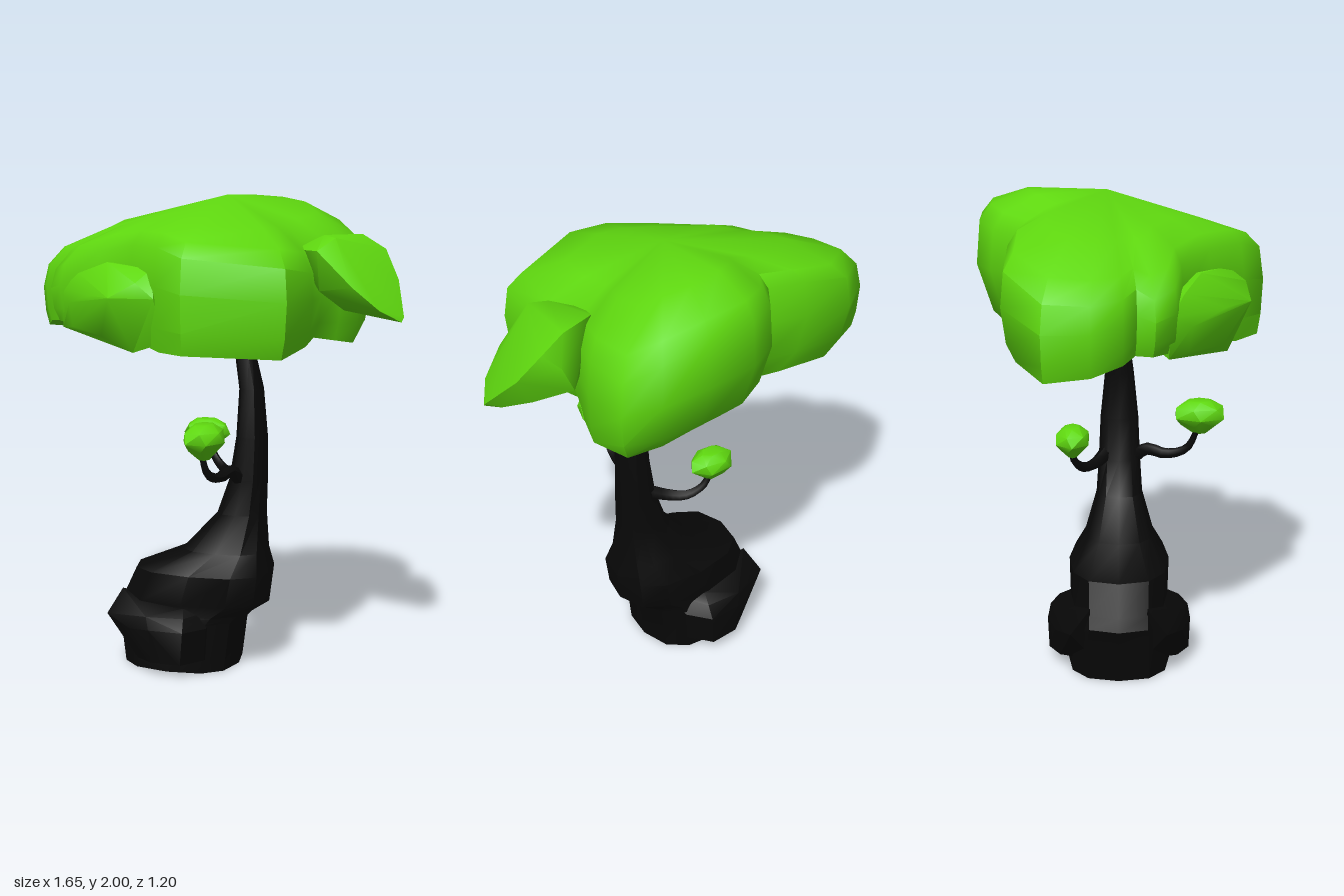
import * as THREE from 'three';
import { toCreasedNormals } from 'three/addons/utils/BufferGeometryUtils.js';
import { ConvexGeometry } from 'three/addons/geometries/ConvexGeometry.js';

const bark = new THREE.MeshStandardMaterial({ color: 0x080808 });
const leaf = new THREE.MeshStandardMaterial({ color: 0x5fd80f });
const V = (x, y, z) => new THREE.Vector3(x, y, z);

// Skin a stack of equal-length rings, lowest first; single-point rings close the ends
function loft(rings, crease) {
  const pos = [];
  const tri = (a, b, c) => {
    if (a.equals(b) || b.equals(c) || a.equals(c)) return;
    for (const p of [a, b, c]) pos.push(p.x, p.y, p.z);
  };
  for (let r = 0; r < rings.length - 1; r++) {
    const lo = rings[r], hi = rings[r + 1], n = lo.length;
    for (let i = 0; i < n; i++) {
      const j = (i + 1) % n;
      tri(lo[i], hi[i], lo[j]);
      tri(lo[j], hi[i], hi[j]);
    }
  }
  const g = new THREE.BufferGeometry();
  g.setAttribute('position', new THREE.Float32BufferAttribute(pos, 3));
  return toCreasedNormals(g, crease);
}

const hull = (pts, crease) =>
  toCreasedNormals(new ConvexGeometry(pts.map(p => V(...p))), crease);

function add(group, name, geometry, material) {
  const m = new THREE.Mesh(geometry, material);
  m.name = name;
  group.add(m);
}

// Main crown: outline of x, z, bottom height, shoulder height, upper height, bottom inset
function crownGeometry() {
  const outline = [
    [0.47, 0.00, 1.42, 1.70, 1.88, 0.92], [0.49, 0.20, 1.40, 1.71, 1.87, 0.92],
    [0.46, 0.46, 1.37, 1.74, 1.87, 0.92], [0.08, 0.60, 1.39, 1.78, 1.88, 0.97],
    [-0.06, 0.51, 1.39, 1.82, 1.90, 0.95], [-0.22, 0.37, 1.42, 1.82, 1.91, 0.95],
    [-0.42, 0.25, 1.44, 1.79, 1.90, 0.95], [-0.60, 0.22, 1.47, 1.73, 1.88, 0.95],
    [-0.68, 0.14, 1.47, 1.70, 1.87, 0.95], [-0.66, 0.07, 1.47, 1.74, 1.87, 0.95],
    [-0.76, 0.02, 1.46, 1.72, 1.87, 0.97], [-0.83, -0.10, 1.43, 1.71, 1.87, 0.97],
    [-0.83, -0.28, 1.41, 1.72, 1.89, 0.97], [-0.60, -0.44, 1.42, 1.80, 1.91, 0.88],
    [-0.36, -0.44, 1.43, 1.86, 1.94, 0.82], [-0.20, -0.40, 1.43, 1.87, 1.96, 0.82],
    [-0.10, -0.52, 1.41, 1.88, 1.99, 0.72], [0.05, -0.59, 1.38, 1.90, 2.00, 0.66],
    [0.28, -0.60, 1.38, 1.90, 1.99, 0.66], [0.46, -0.55, 1.38, 1.84, 1.97, 0.75],
    [0.57, -0.45, 1.38, 1.76, 1.93, 0.88], [0.57, -0.25, 1.38, 1.76, 1.91, 0.95],
    [0.52, -0.12, 1.40, 1.74, 1.90, 0.95],
  ];
  const cx = 0.05, cz = -0.05;
  const ring = (scale, height) => outline.map(o => {
    const s = scale(o);
    return V(cx + (o[0] - cx) * s, height(o), cz + (o[1] - cz) * s);
  });
  const side = t => o => o[2] + (o[3] - o[2]) * t;
  return loft([
    ring(() => 0, () => 1.5),
    ring(o => o[5] * 0.55, o => o[2] * 0.4 + 0.88),
    ring(o => o[5], o => o[2]),
    ring(o => 0.35 * o[5] + 0.65, side(0.22)),
    ring(() => 1, side(0.6)),
    ring(() => 0.97, side(0.95)),
    ring(() => 0.88, o => o[3] + (o[4] - o[3]) * 0.4),
    ring(() => 0.6, o => o[4]),
    ring(() => 0, () => 2),
  ], 0.95);
}

// Trunk: rounded-square rings of height, left edge, right edge, half depth
function trunkGeometry() {
  const levels = [
    [0, -0.38, 0.12, 0.22], [0.21, -0.41, 0.15, 0.22], [0.24, -0.425, 0.18, 0.21],
    [0.29, -0.40, 0.255, 0.21], [0.42, -0.335, 0.27, 0.215], [0.51, -0.12, 0.245, 0.15],
    [0.67, 0.03, 0.235, 0.10], [0.82, 0.085, 0.238, 0.09], [1.0, 0.115, 0.236, 0.082],
    [1.2, 0.125, 0.22, 0.062], [1.33, 0.105, 0.19, 0.045], [1.5, 0.06, 0.13, 0.03],
  ];
  const n = 12;
  const soft = c => Math.sign(c) * Math.abs(c) ** 0.78;
  const rings = levels.map(([y, x0, x1, d]) => Array.from({ length: n }, (_, i) => {
    const a = (i / n) * Math.PI * 2;
    return V((x0 + x1) / 2 + (x1 - x0) / 2 * soft(Math.cos(a)), y, d * soft(Math.sin(a)));
  }));
  const cap = ([y, x0, x1]) => Array(n).fill(V((x0 + x1) / 2, y, 0));
  return loft([cap(levels[0]), ...rings, cap(levels.at(-1))], 0.6);
}

// Curved twig that thins toward its tip
function twigGeometry(points) {
  const curve = new THREE.CatmullRomCurve3(points.map(p => V(...p)));
  const g = new THREE.TubeGeometry(curve, 12, 0.032, 6);
  const p = g.attributes.position, uv = g.attributes.uv, q = V();
  for (let i = 0; i < p.count; i++) {
    const t = uv.getX(i), c = curve.getPointAt(t);
    q.fromBufferAttribute(p, i).sub(c).multiplyScalar(1 - 0.65 * t).add(c);
    p.setXYZ(i, q.x, q.y, q.z);
  }
  g.computeVertexNormals();
  return g;
}

// Small faceted leaf puff: flat crown, wide waist, narrow underside
function puffGeometry(cx, cz, y0, y1, rx, rz) {
  const rows = [[0, 0.25], [0.28, 0.72], [0.5, 1], [0.8, 0.88], [1, 0.45]];
  const pts = [];
  rows.forEach(([t, s], r) => {
    for (let i = 0; i < 6; i++) {
      const a = (i / 6) * Math.PI * 2 + 0.3 * (r % 2);
      pts.push([cx + rx * s * Math.cos(a), y0 + (y1 - y0) * t, cz + rz * s * Math.sin(a)]);
    }
  });
  return hull(pts, 0.6);
}

export function createModel() {
  const tree = new THREE.Group();
  tree.name = 'tree';

  add(tree, 'trunk', trunkGeometry(), bark);

  // Broad roots flaring from the front and back of the base
  for (const s of [1, -1]) {
    const pts = [
      [-0.25, 0.06, 0.25], [-0.17, 0.06, 0.3], [-0.04, 0.06, 0.3], [0.03, 0.06, 0.2],
      [-0.28, 0.19, 0.27], [-0.18, 0.2, 0.305], [-0.03, 0.2, 0.3], [0.04, 0.2, 0.2],
      [-0.41, 0.225, 0.2], [-0.2, 0.25, 0.28], [-0.04, 0.25, 0.26], [-0.37, 0.32, 0.12],
      [-0.06, 0.28, 0.21], [-0.3, 0.06, 0.1], [0.04, 0.06, 0.1], [0.05, 0.26, 0.1],
    ].map(([x, y, z]) => [x, y, s * z]);
    add(tree, s > 0 ? 'frontRoot' : 'backRoot', hull(pts, 0.5), bark);
  }

  // Twigs with their leaf puffs
  add(tree, 'frontTwig', twigGeometry([[0.15, 0.81, 0.05], [0.12, 0.865, 0.12],
    [0.1, 0.85, 0.2], [0.08, 0.88, 0.29], [0.07, 0.98, 0.34]]), bark);
  add(tree, 'frontPuff', puffGeometry(0.085, 0.345, 0.95, 1.095, 0.088, 0.118), leaf);
  add(tree, 'backTwig', twigGeometry([[0.14, 0.85, -0.05], [0.06, 0.82, -0.1],
    [0.0, 0.82, -0.15], [-0.06, 0.87, -0.19], [-0.09, 0.95, -0.2]]), bark);
  add(tree, 'backPuff', puffGeometry(-0.095, -0.195, 0.9, 1.03, 0.107, 0.078), leaf);

  // Crown and its side lobes
  add(tree, 'crown', crownGeometry(), leaf);
  add(tree, 'frontLobe', hull([
    [-0.6, 1.45, 0.19], [-0.6, 1.61, 0.2], [-0.5, 1.68, 0.25], [-0.34, 1.73, 0.32],
    [-0.1, 1.71, 0.44], [-0.06, 1.6, 0.52], [-0.25, 1.6, 0.525], [-0.37, 1.6, 0.42],
    [-0.53, 1.56, 0.28], [-0.18, 1.38, 0.44], [-0.06, 1.42, 0.44], [-0.33, 1.44, 0.41],
    [-0.52, 1.46, 0.27], [-0.1, 1.7, 0.15], [-0.2, 1.45, 0.1], [-0.14, 1.66, 0.51],
  ], 0.8), leaf);
  add(tree, 'sideLobe', hull([
    [0.37, 1.78, 0.04], [0.42, 1.82, -0.08], [0.5, 1.84, 0.08], [0.6, 1.84, -0.15],
    [0.56, 1.83, 0.13], [0.7, 1.78, -0.15], [0.77, 1.66, -0.08], [0.825, 1.52, 0.06],
    [0.82, 1.5, 0.08], [0.78, 1.505, 0.02], [0.75, 1.55, 0.17], [0.65, 1.64, 0.21],
    [0.5, 1.78, 0.19], [0.5, 1.62, 0.15], [0.58, 1.6, -0.18], [0.64, 1.72, -0.19],
    [0.58, 1.54, 0.06], [0.7, 1.54, -0.07], [0.45, 1.65, -0.08],
  ], 1), leaf);

  return tree;
}
